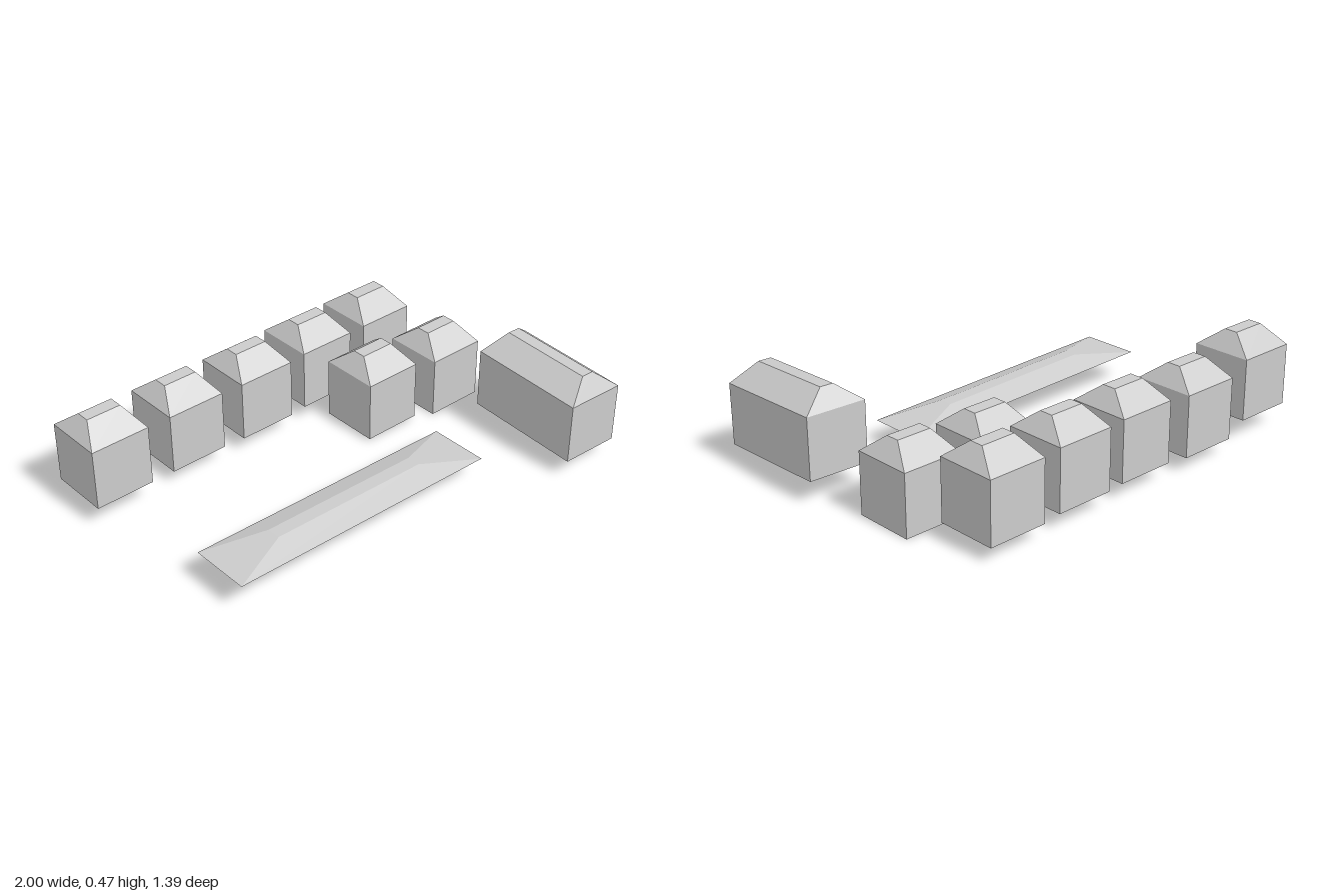
import * as THREE from 'three';

const grey = new THREE.MeshStandardMaterial({ color: 0xcccccc, flatShading: true });
const greyThin = new THREE.MeshStandardMaterial({ color: 0xcccccc, flatShading: true, side: THREE.DoubleSide });

// Stacks rectangles [width, depth, y] into a faceted shell with a flat top.
function stackedRects(levels, closedBottom) {
  const pos = [];
  const rings = levels.map(([w, d, y]) =>
    [[-1, -1], [-1, 1], [1, 1], [1, -1]].map(([sx, sz]) => [sx * w / 2, y, sz * d / 2]));
  const quad = (a, b, c, d) => pos.push(...a, ...b, ...c, ...a, ...c, ...d);
  for (let k = 0; k < rings.length - 1; k++) {
    const lo = rings[k], hi = rings[k + 1];
    for (let i = 0; i < 4; i++) {
      const j = (i + 1) % 4;
      quad(lo[i], lo[j], hi[j], hi[i]);
    }
  }
  quad(...rings[rings.length - 1]);
  if (closedBottom) quad(...[...rings[0]].reverse());
  const geo = new THREE.BufferGeometry();
  geo.setAttribute('position', new THREE.Float32BufferAttribute(pos, 3));
  return geo;
}

// Slants a geometry so it follows sloping ground while its walls stay upright.
function slant(geo, { yByX = 0, yByZ = 0, xByZ = 0, zByX = 0 }) {
  geo.applyMatrix4(new THREE.Matrix4().set(
    1, 0, xByZ, 0,
    yByX, 1, yByZ, 0,
    zByX, 0, 1, 0,
    0, 0, 0, 1));
  geo.computeVertexNormals();
  return geo;
}

export function createModel() {
  const group = new THREE.Group();
  const add = (name, geo, mat, x, y, z) => {
    const mesh = new THREE.Mesh(geo, mat);
    mesh.name = name;
    mesh.position.set(x, y, z);
    group.add(mesh);
  };

  // Small houses: cube walls under a hipped roof with a flat top
  const houseGeo = slant(stackedRects(
    [[0.278, 0.278, 0], [0.278, 0.278, 0.281], [0.163, 0.064, 0.364]], true), {});
  [
    [-0.861, 0.104, -0.517],
    [-0.449, 0.072, -0.552],
    [-0.074, 0.077, -0.538],
    [0.289, 0.077, -0.549],
    [0.657, 0.071, -0.558],
    [0.397, 0.015, -0.228],
    [0.761, 0.003, -0.194],
  ].forEach(([x, y, z], i) => add(`smallHouse${i + 1}`, houseGeo, grey, x, y, z));

  // Long house, slightly skewed and sloping down to the front
  const longHouseGeo = slant(stackedRects(
    [[0.278, 0.549, 0], [0.278, 0.549, 0.279], [0.06, 0.433, 0.364]], true),
  { yByZ: -0.043, xByZ: -0.012, zByX: 0.048 });
  add('longHouse', longHouseGeo, grey, 0.855, 0.098, 0.409);

  // Low roof lying alone on the slope, open underneath
  const lowRoofGeo = slant(stackedRects(
    [[1.322, 0.276, 0], [0.77, 0.062, 0.039]], false), { yByX: -0.027 });
  add('lowRoof', lowRoofGeo, greyThin, -0.231, 0.125, 0.295);

  return group;
}
